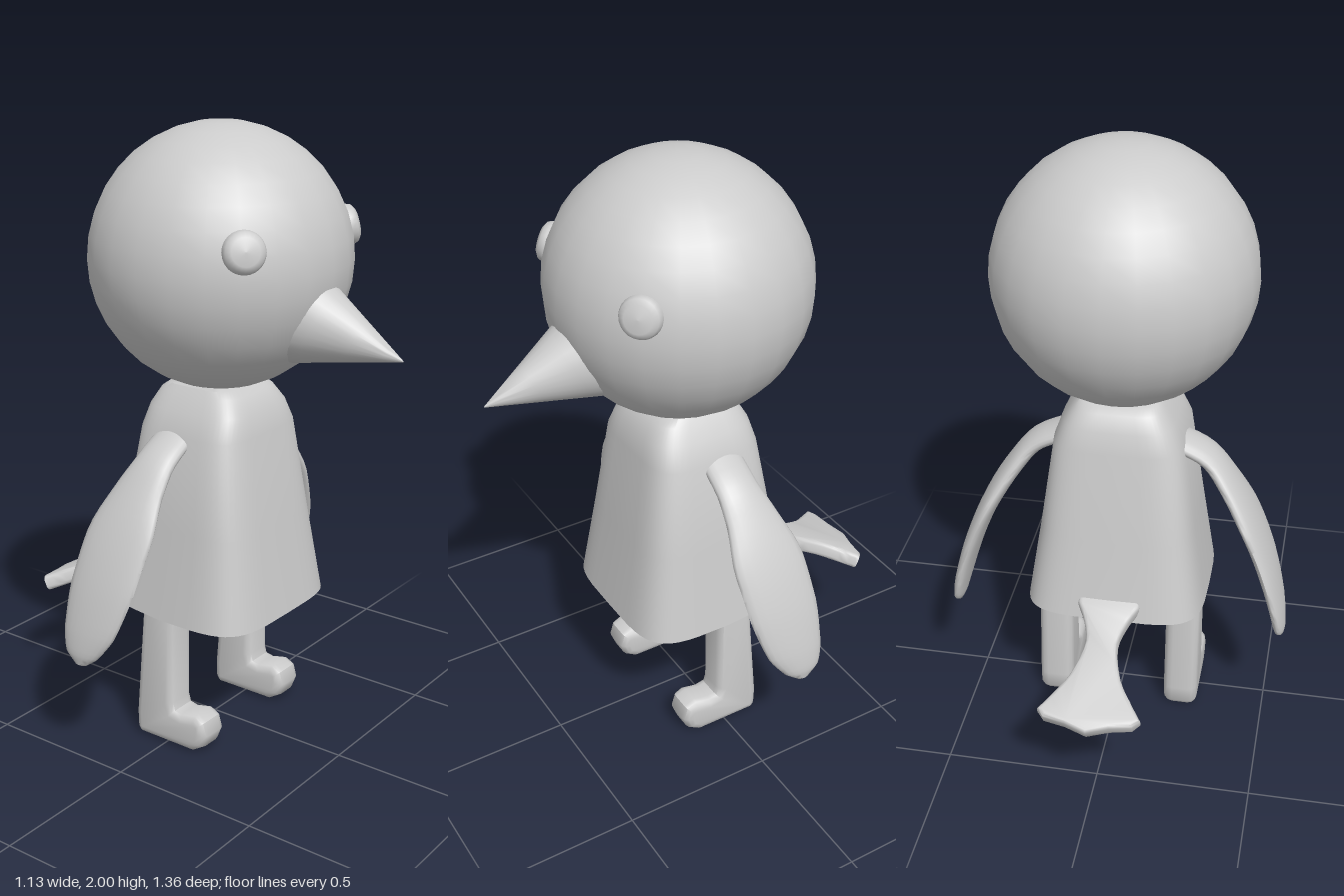
import * as THREE from 'three';
import { toCreasedNormals } from 'three/addons/utils/BufferGeometryUtils.js';

const material = new THREE.MeshStandardMaterial({ color: 0xcccccc });
const V = (x, y, z) => new THREE.Vector3(x, y, z);

// Skins a list of equal-length rings and closes both ends.
function loft(rings, crease) {
  const pos = [];
  const tri = (...pts) => pts.forEach((p) => pos.push(p.x, p.y, p.z));
  const n = rings[0].length;
  const centre = (ring) => ring.reduce((s, p) => s.add(p), V(0, 0, 0)).divideScalar(n);
  const first = rings[0], last = rings[rings.length - 1];
  const c0 = centre(first), c1 = centre(last);
  for (let j = 0; j < n; j++) {
    const k = (j + 1) % n;
    for (let i = 0; i < rings.length - 1; i++) {
      const a = rings[i], b = rings[i + 1];
      tri(a[j], b[j], a[k]);
      tri(a[k], b[j], b[k]);
    }
    tri(c0, first[j], first[k]);
    tri(c1, last[k], last[j]);
  }
  const g = new THREE.BufferGeometry();
  g.setAttribute('position', new THREE.Float32BufferAttribute(pos, 3));
  return toCreasedNormals(g, crease);
}

const ringOf = (n, f) => Array.from({ length: n }, (_, j) => f((j / n) * Math.PI * 2));

function add(parent, name, geometry) {
  const mesh = new THREE.Mesh(geometry, material);
  mesh.name = name;
  parent.add(mesh);
  return mesh;
}

// Flared rounded-square torso: y, half width, front z, back z
function bodyGeometry() {
  const sections = [
    [0.455, 0.295, 0.295, -0.285],
    [0.75, 0.252, 0.25, -0.233],
    [1.05, 0.21, 0.207, -0.182],
    [1.12, 0.178, 0.19, -0.165],
    [1.17, 0.146, 0.158, -0.138],
    [1.19, 0.13, 0.13, -0.11],
  ];
  const soft = (v) => Math.sign(v) * Math.abs(v) ** 0.45;
  return loft(sections.map(([y, w, front, back], i) => ringOf(48, (a) => {
    const z = (front + back) / 2 + soft(Math.sin(a)) * (front - back) / 2;
    const lift = i === 0 ? Math.max(0, -z) * 0.09 : 0;
    return V(soft(Math.cos(a)) * w, y + lift, z);
  })), 0.75);
}

// Cone that leans down to its tip
function beakGeometry() {
  const top = V(0, 1.588, 0.36), bottom = V(0, 1.28, 0.22), tip = V(0, 1.355, 0.68);
  const mid = top.clone().add(bottom).multiplyScalar(0.5);
  const half = top.clone().sub(bottom).multiplyScalar(0.5);
  const base = ringOf(28, (a) =>
    mid.clone().addScaledVector(half, -Math.sin(a)).add(V(Math.cos(a) * 0.15, 0, 0)));
  const steps = [0, 0.3, 0.6, 0.85, 0.99];
  return loft(steps.map((t) => base.map((p) => p.clone().lerp(tip, t))), 1);
}

// Flat paddle wing: centre x, y, front z, back z, half thickness
function wingGeometry() {
  const rows = [
    [0.18, 1.04, 0.05, -0.09, 0.03],
    [0.28, 0.985, 0.055, -0.09, 0.03],
    [0.35, 0.9, 0.06, -0.125, 0.03],
    [0.43, 0.765, 0.075, -0.175, 0.029],
    [0.49, 0.62, 0.055, -0.19, 0.028],
    [0.53, 0.48, 0.01, -0.188, 0.025],
    [0.545, 0.405, -0.045, -0.17, 0.02],
    [0.55, 0.372, -0.09, -0.13, 0.01],
  ];
  const path = new THREE.CatmullRomCurve3(rows.map((r) => V(r[0], r[1], (r[2] + r[3]) / 2)));
  const size = new THREE.CatmullRomCurve3(rows.map((r) => V((r[2] - r[3]) / 2, r[4], 0)));
  const rings = [];
  for (let i = 0; i <= 28; i++) {
    const p = path.getPoint(i / 28), s = size.getPoint(i / 28), t = path.getTangent(i / 28);
    const across = V(-t.y, t.x, 0).normalize();
    rings.push(ringOf(20, (a) => p.clone()
      .add(V(0, 0, Math.cos(a) * s.x))
      .addScaledVector(across, Math.sin(a) * s.y)));
  }
  return loft(rings, 1.2);
}

// Leg and foot from one side profile (z, y) with rounded edges
function legGeometry() {
  const profile = [
    [-0.11, 0.005], [0.105, 0.005], [0.145, 0.03], [0.163, 0.075], [0.15, 0.12], [0.115, 0.137],
    [0.06, 0.125], [0.035, 0.13], [0.028, 0.155], [0.028, 0.52],
    [-0.09, 0.52], [-0.127, 0.08], [-0.125, 0.025],
  ];
  const shape = new THREE.Shape(profile.map(([z, y]) => new THREE.Vector2(z, y)));
  const g = new THREE.ExtrudeGeometry(shape, {
    depth: 0.055, bevelThickness: 0.03, bevelSize: 0.028, bevelOffset: -0.028, bevelSegments: 3,
  });
  g.translate(0, 0, -0.0275).rotateY(-Math.PI / 2);
  return toCreasedNormals(g, 0.8);
}

// Fan tail: outline of half width against length
function tailGeometry() {
  const side = [[0.1, 0.08], [0.07, 0.14], [0.052, 0.22], [0.08, 0.33], [0.125, 0.405], [0.163, 0.46]]
    .map(([x, y]) => new THREE.Vector2(x, y));
  const right = [new THREE.Vector2(0.1, 0), ...new THREE.SplineCurve(side).getPoints(18)];
  right.push(...[[0.14, 0.485], [0.07, 0.497]].map(([x, y]) => new THREE.Vector2(x, y)));
  const left = right.map((p) => new THREE.Vector2(-p.x, p.y)).reverse();
  const shape = new THREE.Shape([...right, new THREE.Vector2(0, 0.52), ...left]);
  const g = new THREE.ExtrudeGeometry(shape, {
    depth: 0.024, bevelThickness: 0.014, bevelSize: 0.012, bevelOffset: -0.012, bevelSegments: 3,
  });
  g.translate(0, 0, -0.012).rotateX(-Math.PI / 2 - 0.42);
  return toCreasedNormals(g, 0.8);
}

export function createModel() {
  const model = new THREE.Group();
  model.name = 'bird';

  const headCentre = V(0, 1.588, 0.022);
  add(model, 'head', new THREE.SphereGeometry(0.412, 24, 18)).position.copy(headCentre);
  add(model, 'beak', beakGeometry());
  add(model, 'body', bodyGeometry());
  add(model, 'tail', tailGeometry()).position.set(0, 0.555, -0.2);

  // Mirrored pairs
  const wing = wingGeometry();
  const leg = legGeometry();
  const eye = new THREE.LatheGeometry(
    [[0.068, -0.04], [0.064, 0], [0.058, 0.016], [0.042, 0.026], [0, 0.03]]
      .map(([r, y]) => new THREE.Vector2(r, y)), 24);
  for (const [side, label] of [[1, 'left'], [-1, 'right']]) {
    add(model, label + 'Wing', wing).scale.x = side;
    add(model, label + 'Leg', leg).position.x = side * 0.218;
    const eyeMesh = add(model, label + 'Eye', eye);
    eyeMesh.position.set(side * 0.278, 1.675, 0.31);
    const outward = eyeMesh.position.clone().sub(headCentre).normalize();
    eyeMesh.quaternion.setFromUnitVectors(V(0, 1, 0), outward);
  }
  return model;
}
